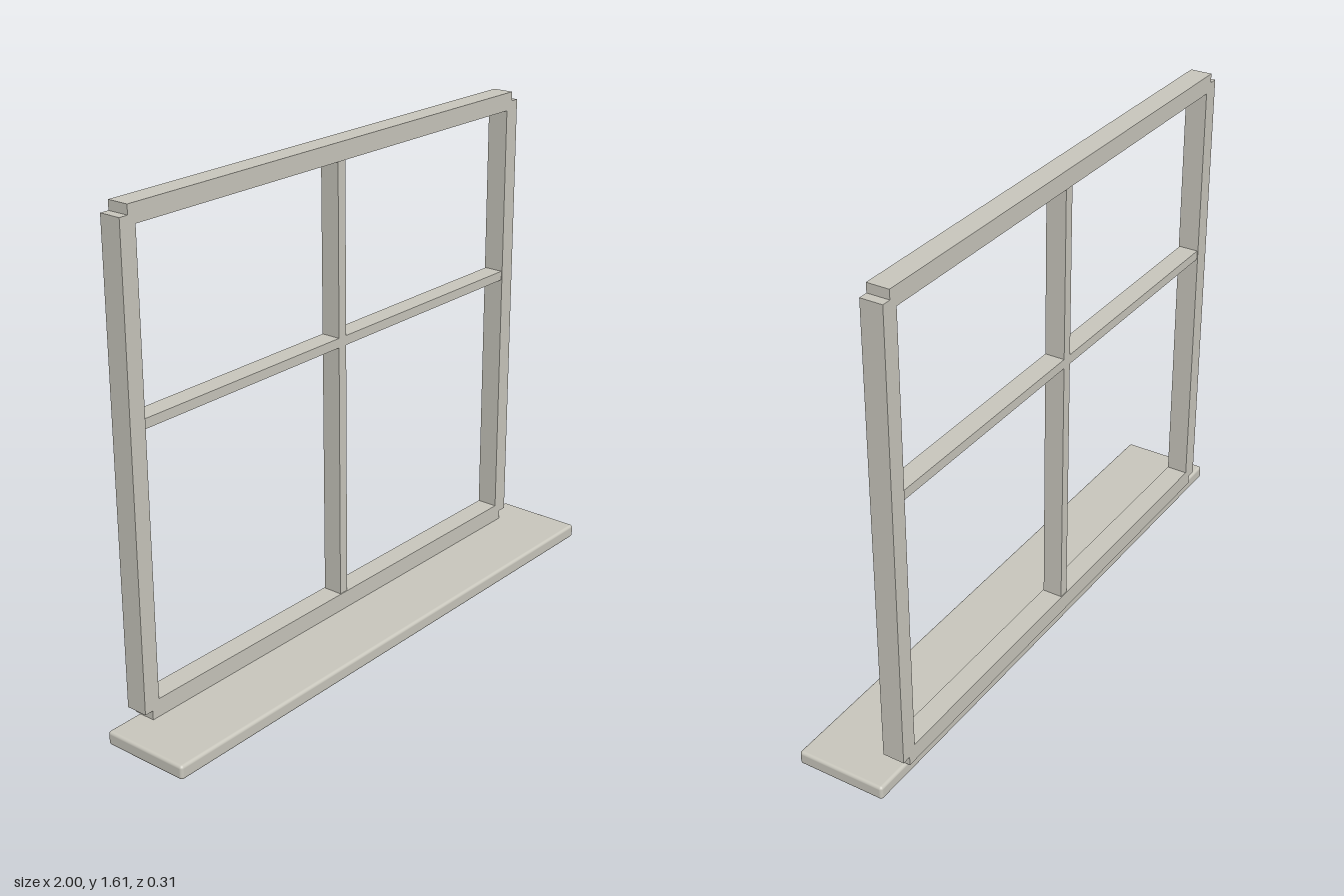
import * as THREE from 'three';
import { RoundedBoxGeometry } from 'three/addons/geometries/RoundedBoxGeometry.js';

export function createModel() {
  const model = new THREE.Group();
  model.name = 'window';
  const paint = new THREE.MeshStandardMaterial({ color: 0xc9c7bd });
  paint.name = 'warm grey paint';

  // Box part given by its limits; an optional radius rounds the edges
  const part = (name, [x0, x1], [y0, y1], [z0, z1], radius = 0) => {
    const size = [x1 - x0, y1 - y0, z1 - z0];
    const geometry = radius
      ? new RoundedBoxGeometry(...size, 3, radius)
      : new THREE.BoxGeometry(...size);
    const mesh = new THREE.Mesh(geometry, paint);
    mesh.name = name;
    mesh.position.set((x0 + x1) / 2, (y0 + y1) / 2, (z0 + z1) / 2);
    model.add(mesh);
  };

  const frameZ = [-0.155, -0.083];
  const barZ = [-0.152, -0.086];

  // Sill board
  part('sill', [-1, 1], [0, 0.046], [-0.143, 0.155], 0.01);

  // Outer frame: the rails run past the jamb ends, leaving notched corners
  part('bottomRail', [-0.875, 0.875], [0.046, 0.105], frameZ);
  part('topRail', [-0.875, 0.875], [1.546, 1.605], frameZ);
  part('leftJamb', [0.848, 0.905], [0.076, 1.575], frameZ);
  part('rightJamb', [-0.905, -0.848], [0.076, 1.575], frameZ);

  // Glazing bars
  part('mullion', [-0.017, 0.017], [0.1, 1.55], barZ);
  for (const [name, x0, x1] of [['leftCrossBar', 0.017, 0.85], ['rightCrossBar', -0.85, -0.017]]) {
    part(name, [x0, x1], [0.959, 0.99], barZ);
  }
  return model;
}
